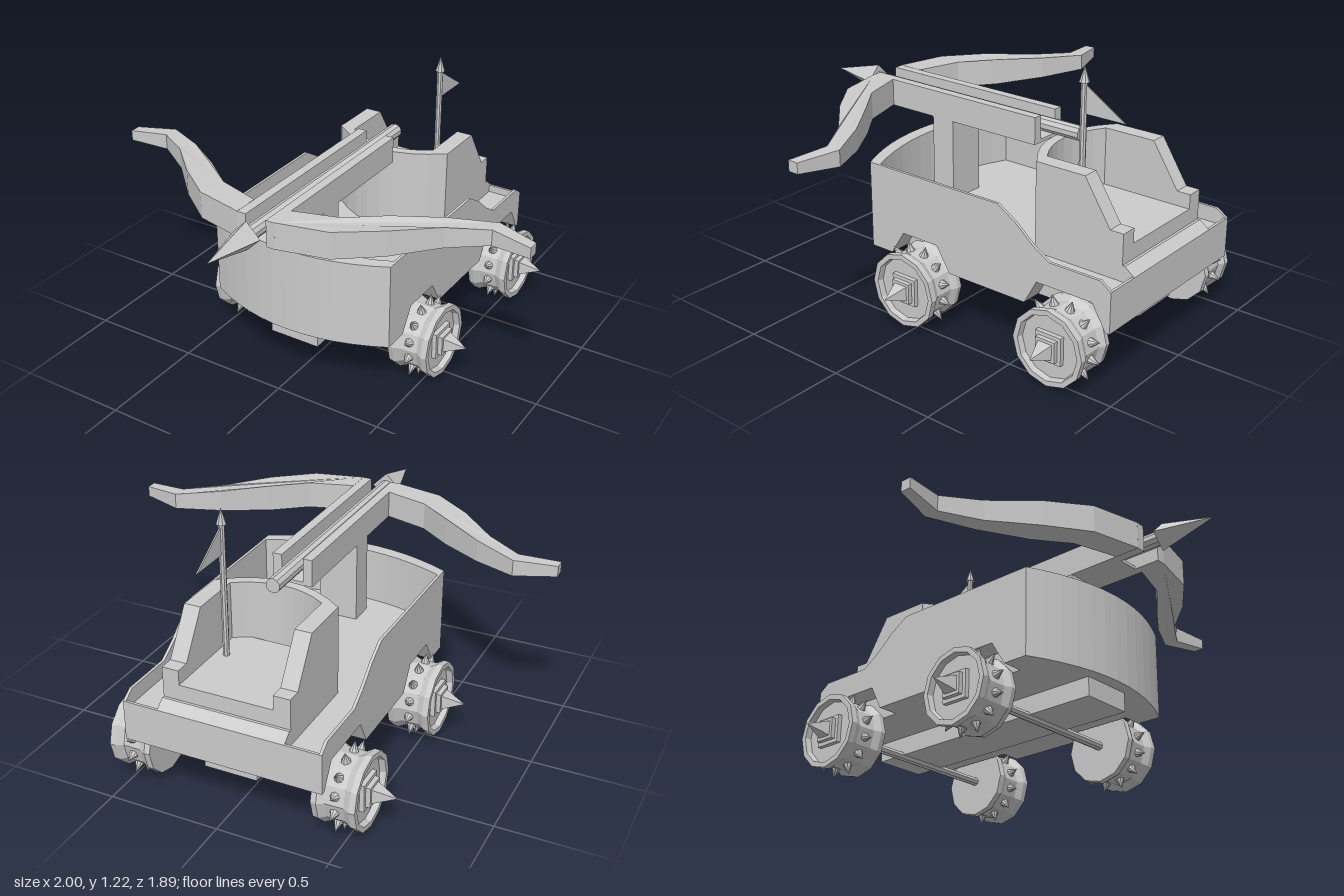
import * as THREE from 'three';

const mat = new THREE.MeshStandardMaterial({ color: 0xcccccc, flatShading: true, side: THREE.DoubleSide });

export function createModel() {
  const model = new THREE.Group();
  const add = (name, geo, parent = model) => {
    const mesh = new THREE.Mesh(geo, mat);
    mesh.name = name;
    parent.add(mesh);
    return mesh;
  };
  const shapeOf = (pts) => new THREE.Shape(pts.map(([a, b]) => new THREE.Vector2(a, b)));
  const extrude = (pts, depth) => new THREE.ExtrudeGeometry(shapeOf(pts), { depth, bevelEnabled: false });
  // Side profile of [z, y] points, extruded from x0 to x1
  const side = (pts, x0, x1) =>
    extrude(pts.map(([z, y]) => [-z, y]), x1 - x0).rotateY(Math.PI / 2).translate(x0, 0, 0);
  // Floor plan of [x, z] points, extruded from y0 to y1
  const plan = (pts, y0, y1) =>
    extrude(pts.map(([x, z]) => [x, -z]), y1 - y0).rotateX(-Math.PI / 2).translate(0, y0, 0);
  // Box from its extents
  const box = (x0, x1, y0, y1, z0, z1) =>
    new THREE.BoxGeometry(x1 - x0, y1 - y0, z1 - z0).translate((x0 + x1) / 2, (y0 + y1) / 2, (z0 + z1) / 2);
  // Bowed row of [x, z] points from -w to w
  const arc = (w, zEdge, bulge, n = 12) => Array.from({ length: n + 1 }, (_, i) => {
    const t = (2 * i) / n - 1;
    return [t * w, zEdge + bulge * (1 - t * t)];
  });

  // Hull: floor, bowed front wall, thin side walls and low tailboard
  const W = 0.445, floorY = 0.42, back = -0.945;
  add('hullFloor', box(-0.35, 0.35, 0.275, floorY, back, 0.315));
  add('hullNose', plan(arc(W, 0.315, 0.115), 0.275, floorY));
  add('frontWall', plan([...arc(W, 0.315, 0.115), ...arc(W - 0.012, 0.265, 0.1).reverse()], 0.275, 0.67));
  add('tailboard', box(-W, W, 0.275, 0.455, back, back + 0.012));
  const wallProfile = [[0.315, 0.4], [0.315, 0.67], [-0.39, 0.67], [-0.48, 0.615], [-0.57, 0.54],
    [-0.65, 0.49], [-0.895, 0.49], [back, 0.455], [back, 0.4]];
  // Outer floor strips with wheel arches cut out
  const archProfile = [[0.315, floorY], [0.315, 0.275], [0.2, 0.275], [0.13, 0.385], [-0.06, 0.385], [-0.13, 0.275],
    [-0.53, 0.275], [-0.59, 0.385], [-0.86, 0.385], [-0.925, 0.275], [back, 0.275], [back, floorY]];
  for (const s of [-1, 1]) {
    const span = (a, b) => (s > 0 ? [a, b] : [-b, -a]);
    add('sideWall', side(wallProfile, ...span(W - 0.013, W)));
    add('wheelArches', side(archProfile, ...span(0.35, W)));
    // Cab side wall with stepped, sloping back
    add('cabWall', side([[-0.46, floorY], [-0.46, 0.82], [-0.7, 0.82], [-0.825, 0.625],
      [-0.888, 0.625], [-0.888, floorY]], ...span(0.21, 0.285)));
  }
  add('chassisBeam', box(-0.12, 0.12, 0.19, 0.28, -0.87, 0.37));

  // Cab: curved front, raised floor and rear step
  add('cabFront', plan([...arc(0.285, -0.465, 0.12, 8), ...arc(0.21, -0.46, 0.07, 8).reverse()], floorY, 0.82));
  add('cabFloor', box(-0.215, 0.215, floorY, 0.56, -0.888, -0.42));
  add('rearStep', side([[-0.88, floorY], [-0.88, 0.49], [-0.9, 0.49], [back, 0.455], [back, floorY]], -0.285, 0.285));

  // Flag on its pole
  const flag = new THREE.Group();
  flag.name = 'flag';
  flag.position.set(0.16, 0, -0.597);
  model.add(flag);
  add('flagPole', new THREE.CylinderGeometry(0.014, 0.014, 0.6, 8).translate(0, 0.855, 0), flag);
  add('poleTip', new THREE.ConeGeometry(0.022, 0.07, 8).translate(0, 1.185, 0), flag);
  add('pennant', side([[-0.01, 1.14], [-0.01, 1.02], [-0.2, 1.02]], -0.003, 0.003), flag);

  // Giant crossbow: post, slotted stock, curved limbs
  const bowY = 0.855;
  add('crossbowPost', box(-0.09, 0.09, floorY, 0.8, 0.15, 0.265));
  add('stockBase', box(-0.09, 0.09, 0.793, 0.808, -0.305, 0.5));
  const limb = [[0.09, 0.505], [0.29, 0.445], [0.44, 0.33], [0.63, 0.2], [0.82, 0.105], [1, 0.155],
    [1, 0.205], [0.82, 0.175], [0.66, 0.275], [0.49, 0.44], [0.315, 0.57], [0.09, 0.622]];
  for (const s of [-1, 1]) {
    add('stockRail', box(s * 0.07 - 0.021, s * 0.07 + 0.021, 0.793, 0.915, -0.305, 0.622));
    const g = plan(limb.map(([x, z]) => [s * x, z]), -1, 1);
    const p = g.attributes.position;
    // Limb height tapers towards the tip
    for (let i = 0; i < p.count; i++) {
      const t = Math.max(0, (Math.abs(p.getX(i)) - 0.44) / 0.56);
      p.setY(i, bowY + p.getY(i) * (0.061 - 0.037 * t));
    }
    g.computeVertexNormals();
    add('bowLimb', g);
  }

  // Bolt lying in the stock
  add('boltShaft', new THREE.CylinderGeometry(0.033, 0.033, 1.17, 10).rotateX(Math.PI / 2).translate(0, 0.86, 0.105));
  add('boltHead', new THREE.ConeGeometry(0.066, 0.258, 4).rotateX(Math.PI / 2).translate(0, 0.86, 0.813));

  // Axles and studded wheels
  const wheelY = 0.187;
  const rim = [[0, 0.37], [0.165, 0.37], [0.168, 0.395], [0.152, 0.425], [0.15, 0.505], [0.168, 0.535],
    [0.168, 0.562], [0.145, 0.562], [0.14, 0.535], [0, 0.535]].map(([r, h]) => new THREE.Vector2(r, h));
  for (const z of [0.033, -0.733]) {
    add('axle', new THREE.CylinderGeometry(0.02, 0.02, 0.9, 8).rotateZ(Math.PI / 2).translate(0, wheelY, z));
    for (const s of [-1, 1]) {
      const wheel = new THREE.Group();
      wheel.name = 'wheel';
      wheel.position.set(0, wheelY, z);
      wheel.rotation.y = s > 0 ? 0 : Math.PI;
      model.add(wheel);
      // Lathe axis turned to point outwards along x
      add('rim', new THREE.LatheGeometry(rim, 12).rotateZ(-Math.PI / 2), wheel);
      add('hubPlate', box(0.53, 0.555, -0.062, 0.062, -0.062, 0.062), wheel);
      add('hubBlock', box(0.55, 0.575, -0.046, 0.046, -0.046, 0.046), wheel);
      add('hubSpike', new THREE.ConeGeometry(0.048, 0.1, 4).rotateY(Math.PI / 4)
        .rotateZ(-Math.PI / 2).translate(0.622, 0, 0), wheel);
      for (let i = 0; i < 12; i++) {
        add('stud', new THREE.ConeGeometry(0.022, 0.05, 8).translate(0.465, 0.167, 0)
          .rotateX(((i + 0.5) * Math.PI) / 6), wheel);
      }
    }
  }
  return model;
}
